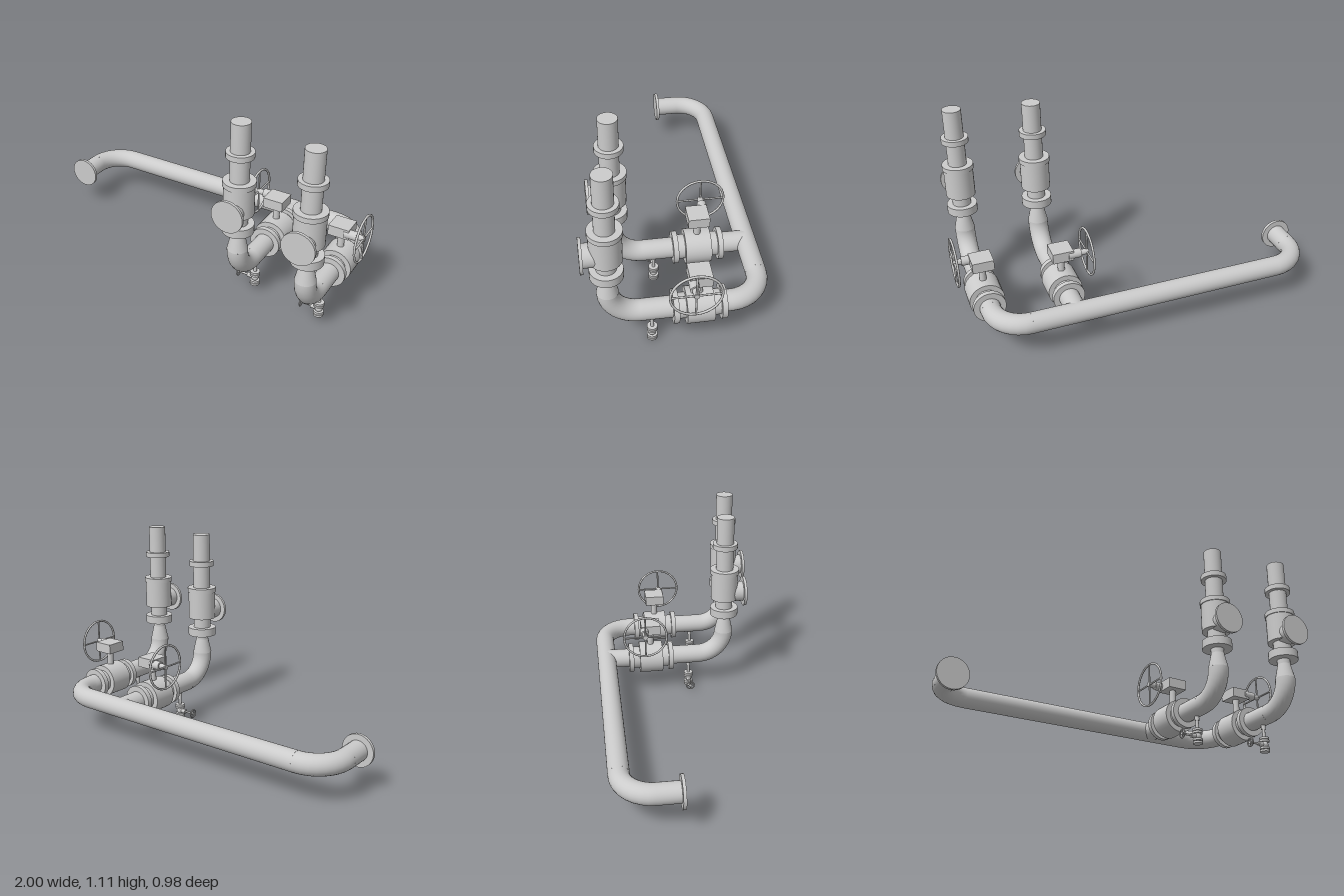
import * as THREE from 'three';

const mat = new THREE.MeshStandardMaterial({ color: 0xcccccc });
const UP = new THREE.Vector3(0, 1, 0);
const PIPE = 0.056, AXIS_Y = 0.214, BEND = 0.17;

function add(parent, name, geometry) {
  const mesh = new THREE.Mesh(geometry, mat);
  mesh.name = name;
  parent.add(mesh);
  return mesh;
}

function group(parent, name, x = 0, y = 0, z = 0) {
  const g = new THREE.Group();
  g.name = name;
  g.position.set(x, y, z);
  parent.add(g);
  return g;
}

// Round bar from point a to point b, optionally tapered
function rod(parent, name, a, b, ra, rb = ra, sides = 32) {
  const p = new THREE.Vector3(...a), q = new THREE.Vector3(...b);
  const dir = q.clone().sub(p);
  const mesh = add(parent, name, new THREE.CylinderGeometry(rb, ra, dir.length(), sides));
  mesh.position.copy(p).add(q).multiplyScalar(0.5);
  mesh.quaternion.setFromUnitVectors(UP, dir.normalize());
  return mesh;
}

// Quarter-turn pipe elbow
function elbow(parent, name, radius, center, rotation) {
  const mesh = add(parent, name, new THREE.TorusGeometry(radius, PIPE, 24, 8, Math.PI / 2));
  mesh.position.set(...center);
  mesh.rotation.set(...rotation);
}

// Spoked wheel lying in the yz plane
function handWheel(parent, name, x, y, z, radius, wire) {
  const g = group(parent, name, x, y, z);
  add(g, 'rim', new THREE.TorusGeometry(radius - wire, wire, 8, 28)).rotation.y = Math.PI / 2;
  const r = radius - wire;
  rod(g, 'uprightSpoke', [0, -r, 0], [0, r, 0], wire * 0.8, wire * 0.8, 8);
  rod(g, 'crossSpoke', [0, 0, -r], [0, 0, r], wire * 0.8, wire * 0.8, 8);
  rod(g, 'hub', [-wire * 1.3, 0, 0], [wire * 1.3, 0, 0], wire * 2.2, wire * 2.2, 16);
}

// Gear-operated shut-off valve, centred on the pipe axis
function gearValve(parent, z, flip) {
  const g = group(parent, 'gearValve', 0, AXIS_Y, z);
  g.rotation.y = flip ? Math.PI : 0;
  rod(g, 'valveBody', [0, 0, -0.07], [0, 0, 0.07], 0.095);
  rod(g, 'valveNecks', [0, 0, -0.12], [0, 0, 0.12], 0.066);
  for (const s of [-1, 1]) rod(g, 'valveFlange', [0, 0, s * 0.108], [0, 0, s * 0.136], 0.088);
  rod(g, 'valveStem', [0, 0.08, 0], [0, 0.18, 0], 0.019);
  add(g, 'gearbox', new THREE.BoxGeometry(0.116, 0.058, 0.115)).position.y = 0.206;
  rod(g, 'wheelShaftHousing', [0.03, 0.206, 0.04], [0.1, 0.206, 0.04], 0.025, 0.025, 20);
  rod(g, 'wheelShaft', [0.09, 0.206, 0.04], [0.138, 0.206, 0.04], 0.016, 0.016, 16);
  handWheel(g, 'handWheel', 0.135, 0.206, 0.04, 0.135, 0.0065);
}

// Small drain valve hanging under the pipe
function drainValve(parent, z) {
  const g = group(parent, 'drainValve', 0, 0, z);
  rod(g, 'drainPipe', [0, 0.07, 0], [0, 0.17, 0], 0.009, 0.009, 16);
  rod(g, 'drainSocket', [0, 0.135, 0], [0, 0.165, 0], 0.013, 0.013, 16);
  rod(g, 'drainCore', [0, 0.002, 0], [0, 0.08, 0], 0.014, 0.014, 16);
  for (const y of [0, 0.016, 0.058, 0.073])
    rod(g, 'drainFlange', [0, y, 0], [0, y + 0.012, 0], 0.028, 0.028, 20);
  add(g, 'drainBody', new THREE.SphereGeometry(0.021, 16, 12)).position.y = 0.043;
  rod(g, 'drainBonnet', [0, 0.043, 0], [-0.045, 0.043, 0], 0.013, 0.013, 12);
  rod(g, 'drainStem', [-0.04, 0.043, 0], [-0.104, 0.043, 0], 0.006, 0.006, 10);
  handWheel(g, 'drainWheel', -0.102, 0.043, 0, 0.028, 0.004);
}

// Vertical stack with collar, relief body and blanked side outlet
function riser(parent, z) {
  const g = group(parent, 'riser', 0, 0, z);
  const rings = [
    ['taper', 0.37, 0.455, PIPE, 0.037], ['taperNeck', 0.45, 0.49, 0.037],
    ['lowerFlange', 0.483, 0.531, 0.084], ['riserPipe', 0.525, 1.105, 0.051],
    ['reliefBody', 0.591, 0.756, 0.081], ['bodyFlange', 0.753, 0.781, 0.086],
    ['collar', 0.915, 0.945, 0.074],
  ];
  for (const [name, y0, y1, r0, r1] of rings) rod(g, name, [0, y0, 0], [0, y1, 0], r0, r1);
  rod(g, 'outletNeck', [0, 0.628, 0.03], [0, 0.628, 0.115], 0.06);
  rod(g, 'outletFlange', [0, 0.628, 0.111], [0, 0.628, 0.127], 0.089);
}

// Complete branch; the back end reaches the header or its bend
function branch(parent, name, x, shift, backEnd, flip) {
  const g = group(parent, name, x, 0, 0);
  const z = 0.36 + shift, r = 0.156;
  rod(g, 'branchPipe', [0, AXIS_Y, z - r], [0, AXIS_Y, backEnd], PIPE);
  elbow(g, 'branchElbow', r, [0, AXIS_Y + r, z - r], [0, -Math.PI / 2, -Math.PI / 2]);
  riser(g, z);
  gearValve(g, -0.097 + shift, flip);
  drainValve(g, 0.14 + shift);
}

export function createModel() {
  const model = new THREE.Group();
  model.name = 'pipeManifold';

  // Header with a bend at each end and a blanked flange on the right
  const xl = -0.912, xr = 0.855, zb = -0.435;
  const header = group(model, 'header', 0, AXIS_Y, 0);
  rod(header, 'headerPipe', [xl + BEND, 0, zb], [xr - BEND, 0, zb], PIPE);
  elbow(header, 'rightBend', BEND, [xl + BEND, 0, zb + BEND], [Math.PI / 2, 0, Math.PI]);
  elbow(header, 'leftBend', BEND, [xr - BEND, 0, zb + BEND], [Math.PI / 2, 0, -Math.PI / 2]);
  rod(header, 'endPipe', [xl, 0, zb + BEND], [xl, 0, -0.135], PIPE);
  rod(header, 'endFlange', [xl, 0, -0.144], [xl, 0, -0.127], 0.088);

  branch(model, 'innerBranch', 0.438, -0.065, zb, true);
  branch(model, 'outerBranch', xr, 0, zb + BEND, false);
  return model;
}
